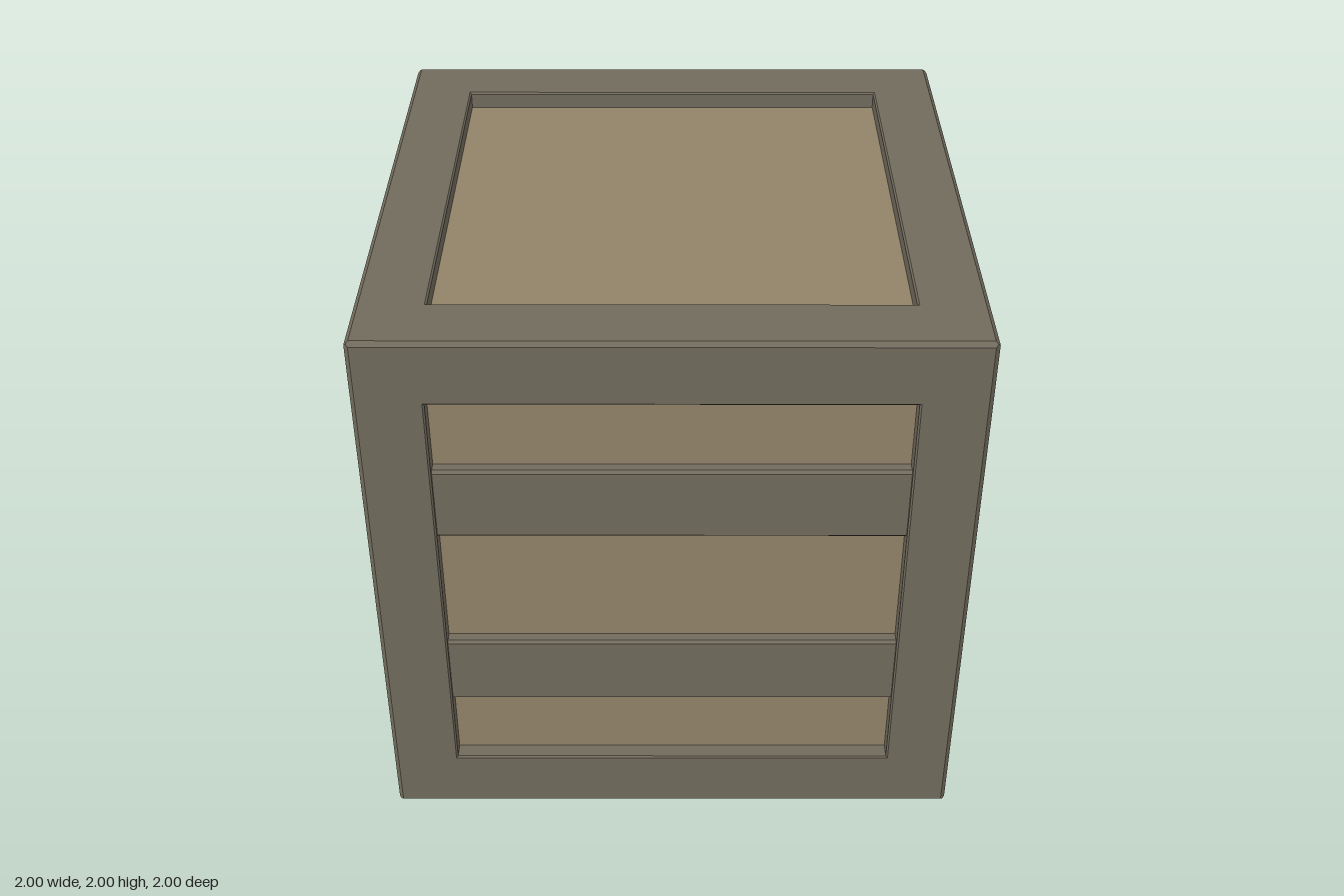
import * as THREE from 'three';

const OPEN = 0.77;   // half width of each framed opening
const PANEL = 0.94;  // distance of the recessed panels from the centre
const BEVEL = 0.015;

const frameMaterial = new THREE.MeshStandardMaterial({ color: 0x716b5d, flatShading: true });
const panelMaterial = new THREE.MeshStandardMaterial({ color: 0x918369, flatShading: true });

// Square picture frame around +y: a four-sided lathe from outer chamfer to inner wall
function frameGeometry() {
  const profile = [
    [1 - BEVEL / 2, 1 - BEVEL / 2],
    [1 - BEVEL, 1],
    [OPEN + 0.006, 1],
    [OPEN, 0.994],
    [OPEN, PANEL - 0.01],
  ].map(([half, height]) => new THREE.Vector2(half * Math.SQRT2, height));
  return new THREE.LatheGeometry(profile, 4, Math.PI / 4);
}

// Horizontal slat facing +z with chamfered long edges
function slatGeometry() {
  const back = PANEL - 0.01, front = 0.982, h = 0.135, b = 0.01;
  const section = new THREE.Shape([
    [-back, -h], [-back, h], [-(front - b), h],
    [-front, h - b], [-front, -h + b], [-(front - b), -h],
  ].map(([x, y]) => new THREE.Vector2(x, y)));
  const geometry = new THREE.ExtrudeGeometry(section, { depth: 2 * OPEN, bevelEnabled: false });
  geometry.translate(0, 0, -OPEN);
  return geometry.rotateY(Math.PI / 2);
}

export function createModel() {
  const crate = new THREE.Group();
  crate.name = 'crate';

  const add = (name, geometry, material, parent) => {
    const mesh = new THREE.Mesh(geometry, material);
    mesh.name = name;
    parent.add(mesh);
    return mesh;
  };

  // Inner box whose faces show as the recessed panels
  const core = add('panels', new THREE.BoxGeometry(2 * PANEL, 2 * PANEL, 2 * PANEL), panelMaterial, crate);
  core.position.y = 1;

  // Top and bottom frames
  const frame = frameGeometry();
  const slat = slatGeometry();
  add('topFrame', frame, frameMaterial, crate).position.y = 1;
  const bottom = add('bottomFrame', frame, frameMaterial, crate);
  bottom.position.y = 1;
  bottom.rotation.x = Math.PI;

  // Four sides, each a frame with two slats
  ['front', 'left', 'back', 'right'].forEach((side, i) => {
    const group = new THREE.Group();
    group.name = side + 'Side';
    group.position.y = 1;
    group.rotation.y = i * Math.PI / 2;
    add(side + 'Frame', frame, frameMaterial, group).rotation.x = Math.PI / 2;
    add(side + 'LowerSlat', slat, frameMaterial, group).position.y = -0.365;
    add(side + 'UpperSlat', slat, frameMaterial, group).position.y = 0.365;
    crate.add(group);
  });

  return crate;
}
